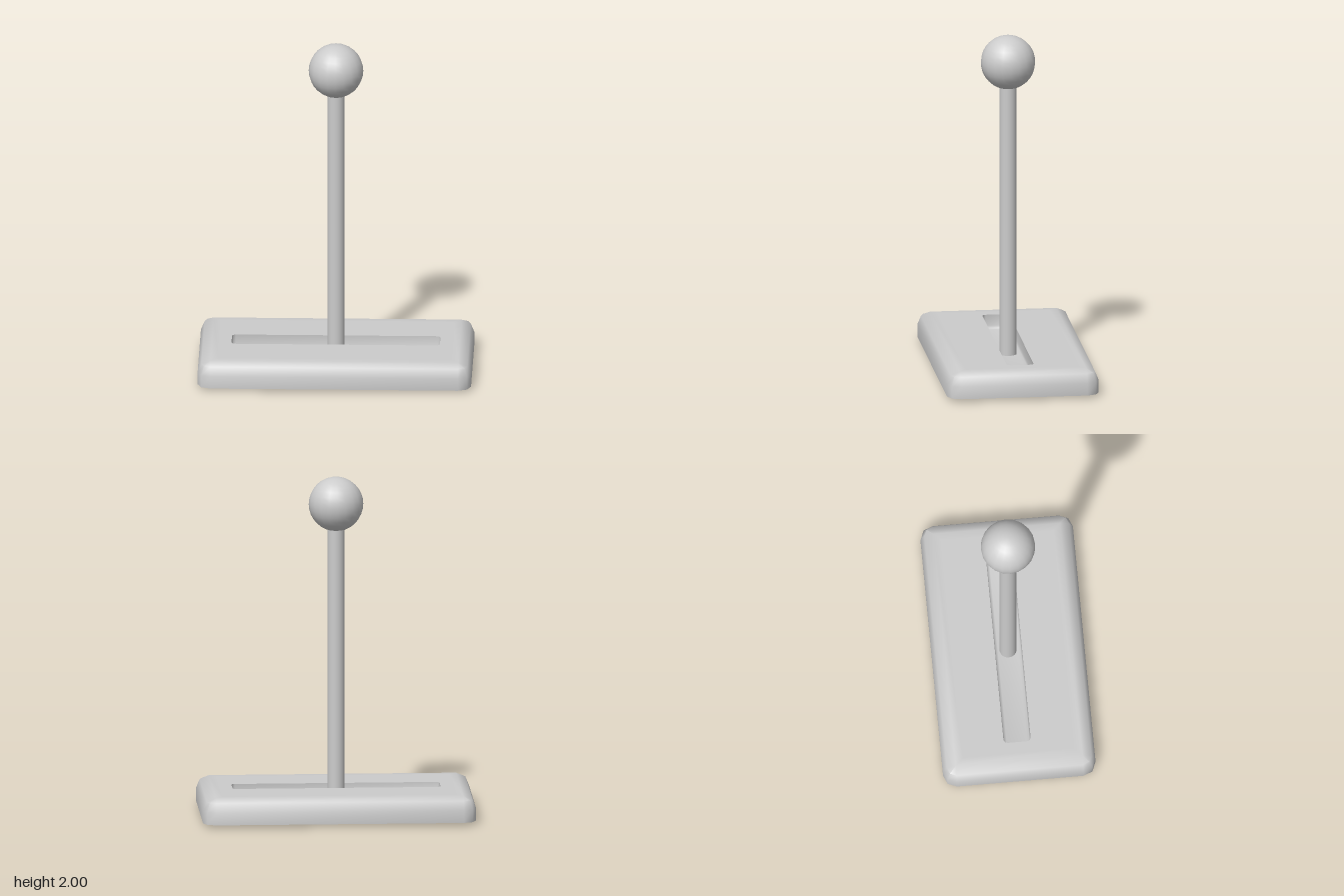
import * as THREE from 'three';
import { toCreasedNormals } from 'three/addons/utils/BufferGeometryUtils.js';

const CORNER_STEPS = 2;

// Rounded rectangle in the XZ plane, same point count for any size
function ring(halfX, halfZ, radius, y) {
  const points = [];
  const signs = [[1, 1], [-1, 1], [-1, -1], [1, -1]];
  signs.forEach(([sx, sz], corner) => {
    for (let i = 0; i <= CORNER_STEPS; i++) {
      const a = (corner + i / CORNER_STEPS) * Math.PI / 2;
      points.push([
        sx * (halfX - radius) + radius * Math.cos(a), y,
        sz * (halfZ - radius) + radius * Math.sin(a)]);
    }
  });
  return points;
}

// Skin a list of rings and close the last one with a flat cap
function loft(rings) {
  const n = rings[0].length;
  const index = [];
  for (let r = 0; r < rings.length - 1; r++) {
    for (let i = 0; i < n; i++) {
      const j = (i + 1) % n;
      const a = r * n + i, b = r * n + j, c = a + n, d = b + n;
      index.push(a, c, b, b, c, d);
    }
  }
  const last = (rings.length - 1) * n;
  for (let i = 1; i < n - 1; i++) index.push(last, last + i + 1, last + i);
  const geometry = new THREE.BufferGeometry();
  geometry.setAttribute('position', new THREE.Float32BufferAttribute(rings.flat(2), 3));
  geometry.setIndex(index);
  return toCreasedNormals(geometry, 0.9);
}

export function createModel() {
  const model = new THREE.Group();
  const material = new THREE.MeshStandardMaterial({ color: 0xcccccc });
  const shellMaterial = new THREE.MeshStandardMaterial({ color: 0xcccccc, side: THREE.DoubleSide });

  const add = (name, geometry, y, mat = material) => {
    const mesh = new THREE.Mesh(geometry, mat);
    mesh.name = name;
    mesh.position.y = y;
    model.add(mesh);
  };

  // Base: hollow shell open below, bevelled rim, slot sunk into the top
  const outer = (inset, y) => ring(0.8 - inset, 0.447 - inset, Math.max(0.075 - inset, 0.002), y);
  const slot = (inset, y) => ring(0.61 - inset, 0.08 - inset, 0.022 - inset * 0.9, y);
  add('base', loft([
    outer(0, 0.017),
    outer(0, 0.09),
    outer(0.022, 0.143),
    outer(0.075, 0.165),
    outer(0.12, 0.165),
    slot(0, 0.165),
    slot(0, 0.1),
    slot(0.006, 0.086),
    slot(0.02, 0.08),
  ]), 0, shellMaterial);

  // Lever rod passing through the slot floor
  add('rod', new THREE.CylinderGeometry(0.05, 0.05, 1.75, 24), 0.875);

  // Ball handle
  add('knob', new THREE.SphereGeometry(0.16, 20, 16), 1.84);

  return model;
}
